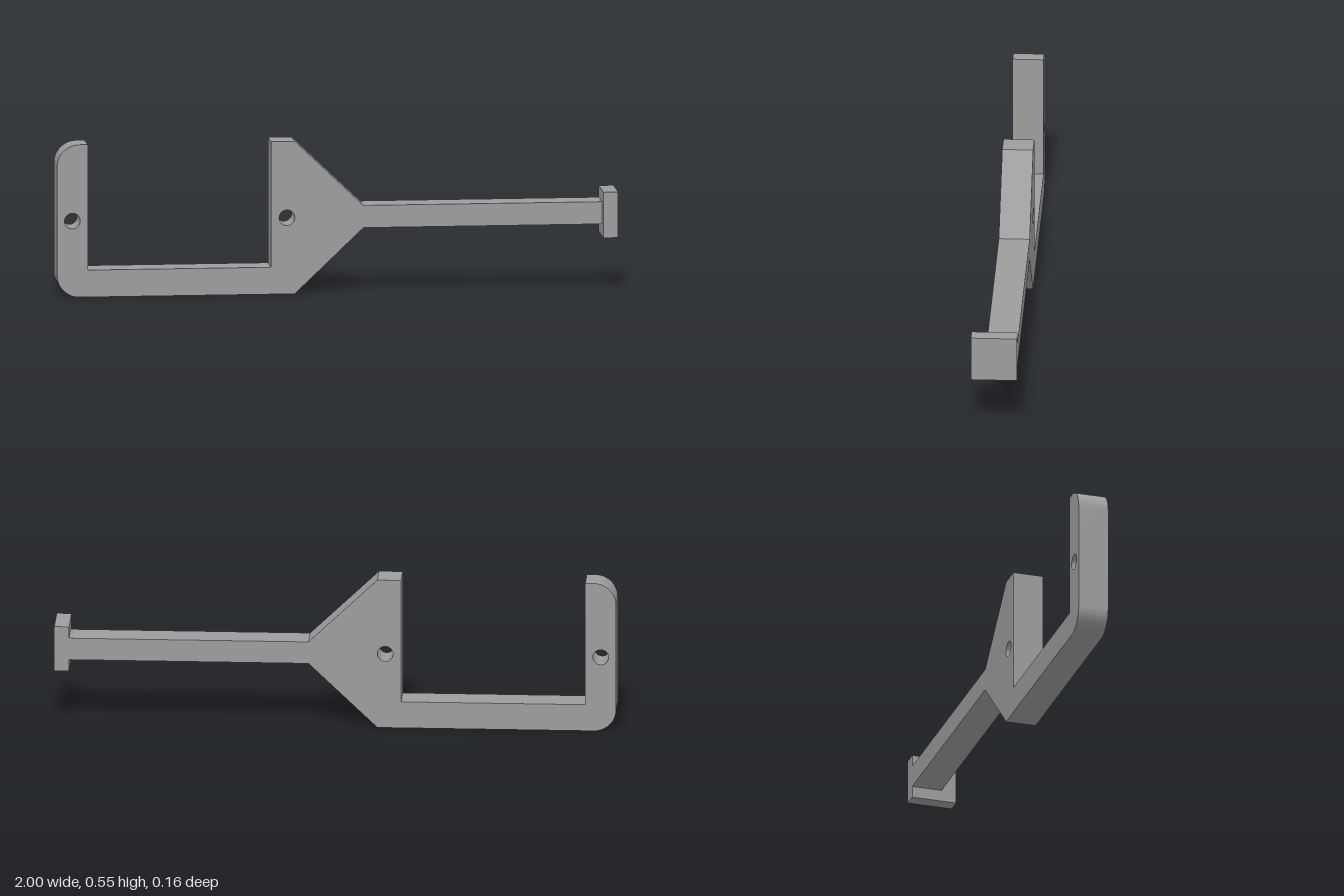
import * as THREE from 'three';
import { toCreasedNormals } from 'three/addons/utils/BufferGeometryUtils.js';

const BACK = -0.082, FRONT = 0.028; // depth range of the flat body
const H = 0.548, MID = H / 2;       // overall height and centre line

export function createModel() {
  const group = new THREE.Group();
  const material = new THREE.MeshStandardMaterial({ color: 0x9d9d9d });

  const add = (name, geometry, x, y, z) => {
    const mesh = new THREE.Mesh(geometry, material);
    mesh.name = name;
    mesh.position.set(x, y, z);
    group.add(mesh);
  };

  // U-shaped bracket tapering into a long bar, cut as one outline
  const r = 0.08, bar = 0.04;
  const outline = new THREE.Shape();
  outline.moveTo(-1 + r, 0);
  outline.lineTo(-0.15, 0);
  outline.lineTo(0.095, MID - bar);
  outline.lineTo(0.947, MID - bar);
  outline.lineTo(0.947, MID + bar);
  outline.lineTo(0.095, MID + bar);
  outline.lineTo(-0.15, H);
  outline.lineTo(-0.235, H);
  outline.lineTo(-0.235, 0.097);
  outline.lineTo(-0.89, 0.097);
  outline.lineTo(-0.89, H);
  outline.lineTo(-1 + r, H);
  outline.absarc(-1 + r, H - r, r, Math.PI / 2, Math.PI, false);
  outline.lineTo(-1, r);
  outline.absarc(-1 + r, r, r, Math.PI, Math.PI * 1.5, false);

  // Pin holes through both uprights
  for (const x of [-0.945, -0.178]) {
    const hole = new THREE.Path();
    hole.absarc(x, MID, 0.028, 0, Math.PI * 2, true);
    outline.holes.push(hole);
  }

  const body = new THREE.ExtrudeGeometry(outline, {
    depth: FRONT - BACK, bevelEnabled: false, curveSegments: 16,
  });
  add('bracketAndBar', toCreasedNormals(body, 0.5), 0, 0, BACK);

  // Square end plate, projecting forward of the bar
  add('endPlate', new THREE.BoxGeometry(0.053, 0.164, 0.164), 0.9735, MID, 0);

  return group;
}
